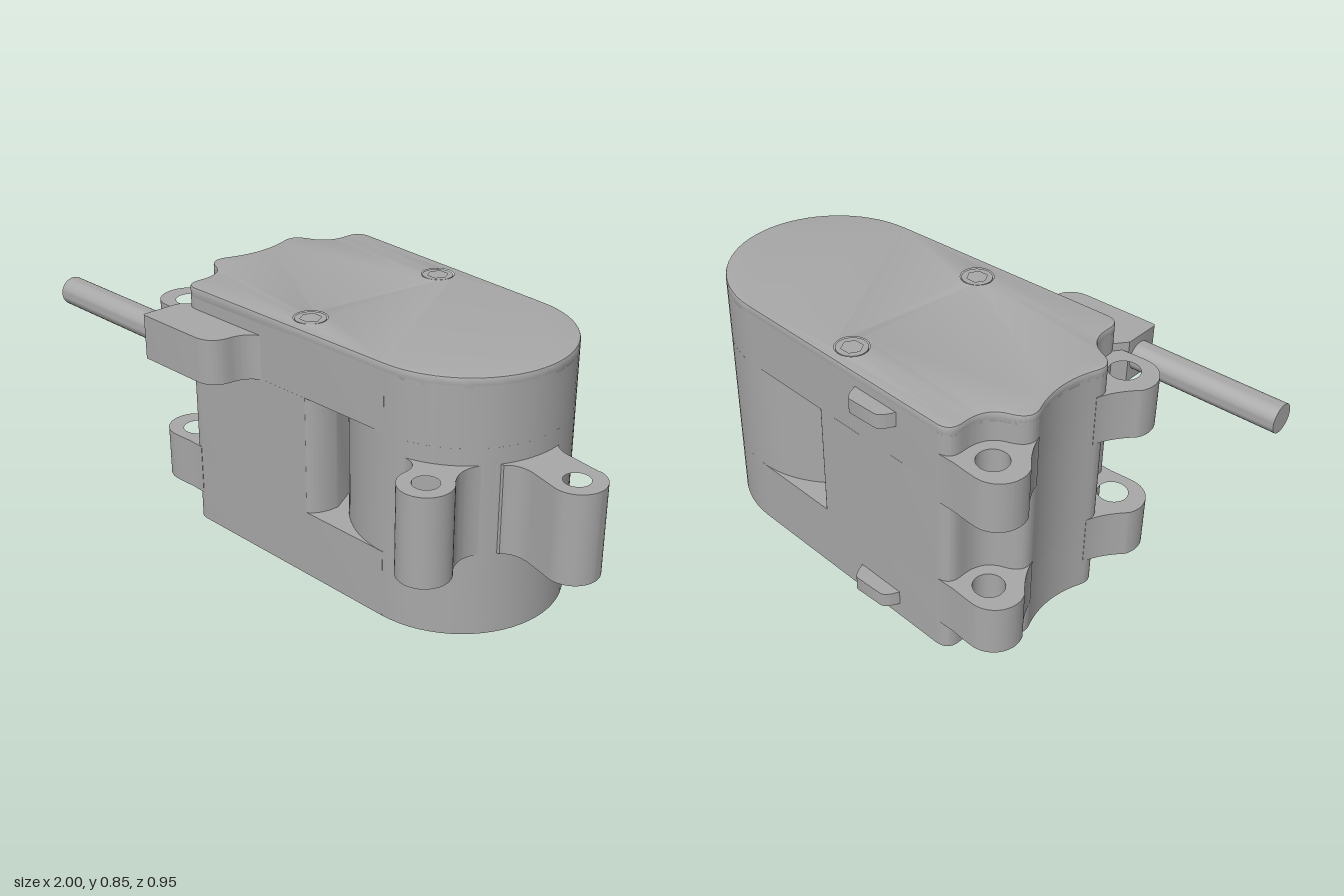
import * as THREE from 'three';
import { toCreasedNormals } from 'three/addons/utils/BufferGeometryUtils.js';

const AXIS_Z = -0.057; // symmetry axis of the housing
const END_X = 0.4, END_R = 0.343; // rounded end and drum

export function createModel() {
  const model = new THREE.Group();
  const grey = new THREE.MeshStandardMaterial({ color: 0xa8a8a8 });
  grey.name = 'satin grey';

  const add = (name, geometry) => {
    const mesh = new THREE.Mesh(toCreasedNormals(geometry, 0.5), grey);
    mesh.name = name;
    model.add(mesh);
    return mesh;
  };

  // Extrudes a plan outline (x, depth) from y0 to y1; side -1 mirrors it across the axis
  const slab = (name, path, y0, y1, { holes = [], side = 1, axis = 0, bevel = 0 } = {}) => {
    const place = (x, d) => new THREE.Vector2(x, -(axis + side * d));
    const shape = new THREE.Shape(path.getPoints(16).map(p => place(p.x, p.y)));
    for (const [x, d, r, n = 32] of holes) {
      const ring = [];
      for (let i = 0; i < n; i++) {
        const a = (i / n) * Math.PI * 2;
        ring.push(place(x + r * Math.cos(a), d + r * Math.sin(a)));
      }
      shape.holes.push(new THREE.Path(ring));
    }
    const geometry = new THREE.ExtrudeGeometry(shape, {
      depth: y1 - y0 - 2 * bevel, bevelEnabled: bevel > 0,
      bevelThickness: bevel, bevelSize: bevel, bevelOffset: -bevel, bevelSegments: 2,
    });
    geometry.rotateX(-Math.PI / 2).translate(0, y0 + bevel, 0);
    return add(name, geometry);
  };

  // Waisted cable end shared by every housing layer
  const waistedEnd = p => {
    p.lineTo(-0.42, 0.38);
    p.quadraticCurveTo(-0.47, 0.38, -0.47, 0.33);
    p.lineTo(-0.47, 0.31);
    p.quadraticCurveTo(-0.47, 0.235, -0.53, 0.21);
    p.quadraticCurveTo(-0.602, 0.185, -0.582, 0.13);
    p.quadraticCurveTo(-0.53, 0, -0.582, -0.13);
    p.quadraticCurveTo(-0.602, -0.185, -0.53, -0.21);
    p.quadraticCurveTo(-0.47, -0.235, -0.47, -0.31);
    p.lineTo(-0.47, -0.33);
    p.quadraticCurveTo(-0.47, -0.38, -0.42, -0.38);
  };

  const full = new THREE.Path();
  full.moveTo(END_X + 0.015, END_R);
  waistedEnd(full);
  full.lineTo(END_X + 0.015, -END_R);
  full.absarc(END_X, 0, END_R, -Math.PI / 2 + 0.044, Math.PI / 2 - 0.044, false);

  // Middle layer stops short to leave the window around the drum
  const middle = new THREE.Path();
  middle.moveTo(0.085, 0.358);
  waistedEnd(middle);
  middle.lineTo(0.085, -0.358);
  middle.quadraticCurveTo(0.125, -0.33, 0.125, -0.26);
  middle.lineTo(0.08, -0.17);
  middle.lineTo(0.08, 0.17);
  middle.lineTo(0.125, 0.26);
  middle.quadraticCurveTo(0.125, 0.33, 0.085, 0.358);

  // Housing layers, with plates pierced for the screws
  const onAxis = { axis: AXIS_Z };
  const topScrews = [[0.02, -0.335], [0.02, 0.215]];
  const bottomScrews = [[0.17, -0.335], [0.19, 0.215], [-0.04, -0.21]];
  const bores = list => list.map(([x, z]) => [x, z - AXIS_Z, 0.06]);
  slab('bottomPlate', full, 0, 0.02, { ...onAxis, holes: bores(bottomScrews) });
  slab('lowerHousing', full, 0.02, 0.23, onAxis);
  slab('middleHousing', middle, 0.23, 0.63, onAxis);
  slab('upperHousing', full, 0.63, 0.825, onAxis);
  slab('lid', full, 0.81, 0.85, { ...onAxis, holes: bores(topScrews), bevel: 0.006 });

  // Screw heads with hexagonal sockets
  const screw = (name, [x, z], y0, y1) => {
    const head = new THREE.Path();
    head.absarc(x, z, 0.05, 0, Math.PI * 2, false);
    slab(name, head, y0, y1, { holes: [[x, z, 0.034, 6]] });
  };
  topScrews.forEach(s => screw('topScrew', s, 0.82, 0.849));
  bottomScrews.forEach(s => screw('bottomScrew', s, 0.001, 0.025));

  // Output drum filling the rounded end
  const drum = new THREE.CylinderGeometry(END_R, END_R, 0.4, 96);
  drum.translate(END_X, 0.43, AXIS_Z);
  add('outputDrum', drum);

  // Two arms on the drum
  const endArm = new THREE.Path();
  endArm.moveTo(0.6, -0.12);
  endArm.lineTo(0.728, -0.13);
  endArm.quadraticCurveTo(0.745, -0.088, 0.8, -0.083);
  endArm.lineTo(0.92, -0.07);
  endArm.absarc(0.913, 0.012, 0.085, -1.45, 1.75, false);
  endArm.lineTo(0.8, 0.073);
  endArm.quadraticCurveTo(0.74, 0.065, 0.715, 0.1);
  endArm.lineTo(0.6, 0.1);
  slab('endArm', endArm, 0.28, 0.575, { holes: [[0.91, 0.014, 0.041]] });

  const sideArm = new THREE.Path();
  sideArm.moveTo(0.6, 0.05);
  sideArm.lineTo(0.7, 0.11);
  sideArm.quadraticCurveTo(0.63, 0.195, 0.685, 0.265);
  sideArm.absarc(0.637, 0.336, 0.084, -0.95, Math.PI, false);
  sideArm.quadraticCurveTo(0.553, 0.27, 0.485, 0.274);
  sideArm.lineTo(0.5, 0.1);
  slab('sideArm', sideArm, 0.28, 0.575, { holes: [[0.637, 0.335, 0.041]] });

  // Four mounting ears at the cable end
  const ear = new THREE.Path();
  ear.moveTo(-0.43, 0.381);
  ear.lineTo(-0.49, 0.381);
  ear.quadraticCurveTo(-0.54, 0.387, -0.575, 0.388);
  ear.absarc(-0.575, 0.295, 0.093, Math.PI / 2, Math.PI * 1.15, false);
  ear.quadraticCurveTo(-0.6, 0.19, -0.583, 0.13);
  ear.lineTo(-0.53, 0.13);
  ear.lineTo(-0.53, 0.21);
  ear.quadraticCurveTo(-0.47, 0.235, -0.46, 0.31);
  for (const side of [1, -1]) {
    for (const y of [0.1, 0.575]) {
      slab('mountingEar', ear, y, y + 0.175, { ...onAxis, side, holes: [[-0.557, 0.298, 0.05]] });
    }
  }

  // Clips on the back wall
  const clip = new THREE.Path();
  clip.moveTo(-0.27, -0.41);
  clip.lineTo(-0.255, -0.43);
  clip.quadraticCurveTo(-0.235, -0.475, -0.215, -0.476);
  clip.lineTo(-0.115, -0.476);
  clip.quadraticCurveTo(-0.095, -0.475, -0.08, -0.42);
  clip.lineTo(-0.08, -0.4);
  for (const y of [0.05, 0.75]) slab('backClip', clip, y, y + 0.05);

  // Cable outlet on the front wall
  const outlet = new THREE.Path();
  outlet.moveTo(-0.46, 0.29);
  outlet.lineTo(-0.498, 0.34);
  outlet.lineTo(-0.498, 0.465);
  outlet.quadraticCurveTo(-0.497, 0.475, -0.485, 0.474);
  outlet.lineTo(-0.24, 0.464);
  outlet.quadraticCurveTo(-0.165, 0.46, -0.16, 0.39);
  outlet.quadraticCurveTo(-0.155, 0.325, -0.1, 0.305);
  outlet.lineTo(-0.1, 0.29);
  slab('cableOutlet', outlet, 0.627, 0.777);

  // Cable
  const start = new THREE.Vector3(-1, 0.702, 0.418), end = new THREE.Vector3(-0.45, 0.702, 0.396);
  const run = end.clone().sub(start);
  const cable = add('cable', new THREE.CylinderGeometry(0.048, 0.048, run.length(), 32));
  cable.position.copy(start).addScaledVector(run, 0.5);
  cable.quaternion.setFromUnitVectors(new THREE.Vector3(0, 1, 0), run.normalize());

  return model;
}
